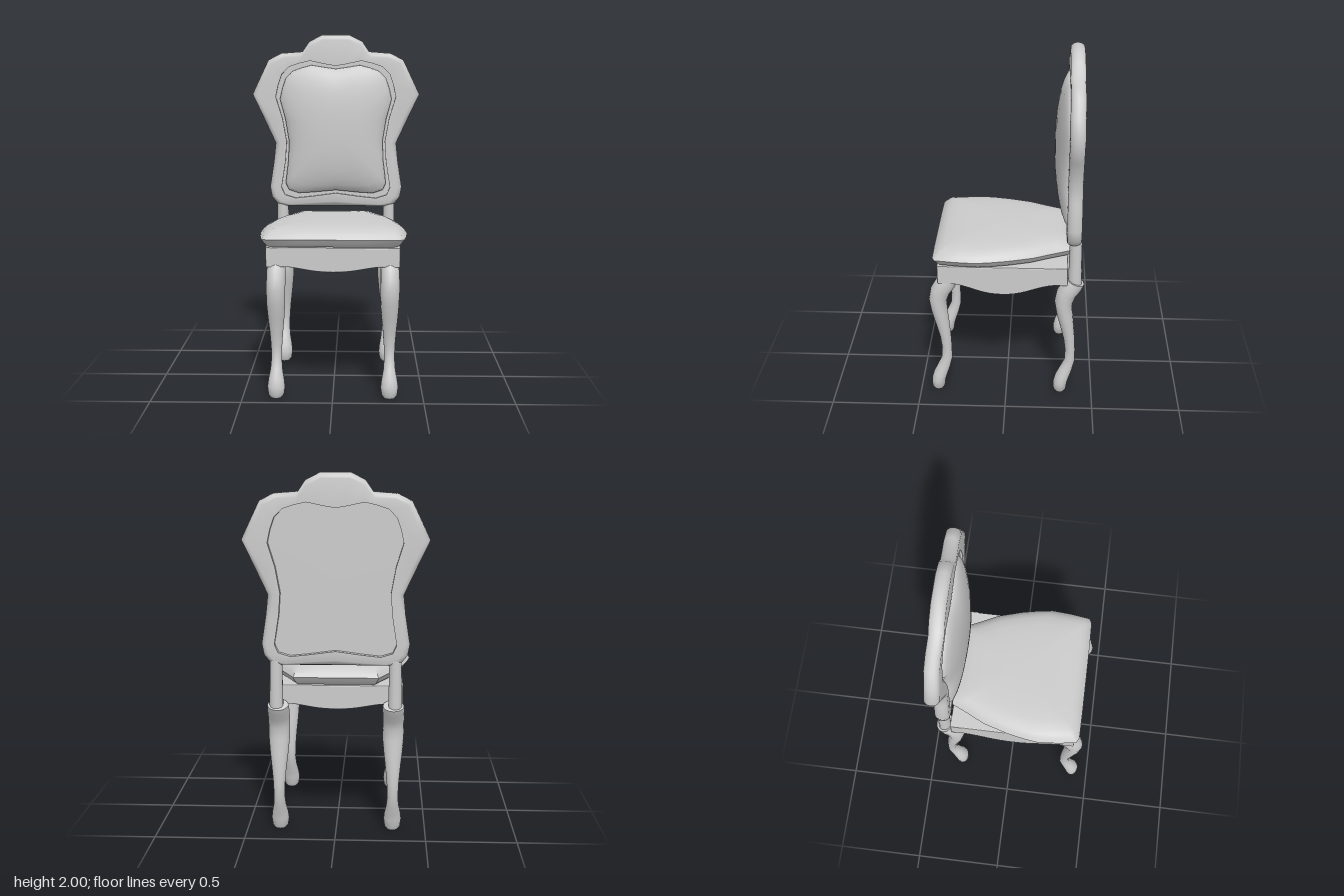
import * as THREE from 'three';
import { toCreasedNormals } from 'three/addons/utils/BufferGeometryUtils.js';

const material = new THREE.MeshStandardMaterial({ color: 0xcccccc });

function add(parent, name, geometry) {
  const mesh = new THREE.Mesh(geometry, material);
  mesh.name = name;
  parent.add(mesh);
  return mesh;
}

// Skin over a list of rings; rings run counter-clockwise seen from the way they advance
function loft(rings, crease, closed = false) {
  const n = rings[0].length, index = [];
  const spans = closed ? rings.length : rings.length - 1;
  for (let i = 0; i < spans; i++) {
    for (let j = 0; j < n; j++) {
      const k = (j + 1) % n, up = (i + 1) % rings.length;
      const a = i * n + j, b = i * n + k, c = up * n + k, d = up * n + j;
      index.push(a, b, c, a, c, d);
    }
  }
  const g = new THREE.BufferGeometry();
  g.setAttribute('position', new THREE.Float32BufferAttribute(rings.flat(2), 3));
  g.setIndex(index);
  return toCreasedNormals(g, crease);
}

// Half outline, from one centre point to the other, completed by mirroring
const mirrored = (half) => half.concat(half.slice(1, -1).reverse().map(([x, y]) => [-x, y]));

// Back frame outline and its opening, point by point
const outer = mirrored([[0, 2], [0.08, 2], [0.16, 1.96], [0.2, 1.9], [0.33, 1.89], [0.407, 1.85],
  [0.455, 1.75], [0.505, 1.645], [0.437, 1.5], [0.367, 1.35], [0.378, 1.24], [0.403, 1.08],
  [0.392, 1.02], [0.36, 0.98], [0.3, 0.963], [0, 0.963]]);
const opening = mirrored([[0, 1.815], [0.06, 1.825], [0.155, 1.845], [0.22, 1.83], [0.28, 1.81],
  [0.325, 1.765], [0.347, 1.7], [0.362, 1.63], [0.322, 1.5], [0.297, 1.36], [0.305, 1.24],
  [0.33, 1.08], [0.31, 1.035], [0.245, 1.015], [0.15, 1.025], [0, 1.045]]);

function backFrame() {
  // Outer outline pulled in towards the opening by d
  const inset = (d, z) => outer.map(([x, y], i) => {
    const dx = opening[i][0] - x, dy = opening[i][1] - y, l = Math.hypot(dx, dy);
    return [x + dx / l * d, y + dy / l * d, z];
  });
  const edge = (z) => opening.map(([x, y]) => [x, y, z]);
  const front = -0.335, back = -0.417, r = 0.032;
  const rings = [edge(front)];
  for (let i = 0; i <= 8; i++) {
    const a = i / 8 * Math.PI;
    const z = (front + back) / 2 + Math.cos(a) * (front - back) / 2;
    rings.push(inset(r * (1 - Math.sin(a)), z));
  }
  rings.push(edge(back));
  return loft(rings, 1.0, true);
}

// Domed pad: follows the opening at its rim and softens to an oval in the middle
function backCushion() {
  const cy = 1.43;
  const profile = [[0, -0.26], [0.2, -0.261], [0.35, -0.264], [0.5, -0.27], [0.63, -0.278],
    [0.75, -0.29], [0.85, -0.305], [0.92, -0.322], [0.945, -0.335], [0.95, -0.35], [1, -0.35],
    [1, -0.385], [0, -0.385]];
  return loft(profile.map(([s, z]) => opening.map(([x, y]) => {
    const oval = 1 / Math.hypot(x / 0.32, (y - cy) / 0.4);
    const f = s * THREE.MathUtils.lerp(oval, 1, s * s);
    return [x * f, cy + (y - cy) * f, z];
  })), 0.8);
}

// Pillow with a pointed seam all round
function seatCushion() {
  const rear = -0.372, front = 0.412, cz = 0.02;
  const outline = mirrored([[0, rear], [0.12, rear], [0.235, rear], [0.262, -0.31], [0.29, -0.25],
    [0.34, -0.15], [0.382, -0.01], [0.403, 0.09], [0.414, 0.17], [0.406, 0.28], [0.39, 0.395],
    [0.36, 0.41], [0.2, front], [0, front]]);
  const profile = [[0, 0.96], [0.3, 0.959], [0.55, 0.955], [0.72, 0.949], [0.84, 0.94],
    [0.91, 0.928], [0.96, 0.91], [1, 0.888], [0.965, 0.868], [0.93, 0.85], [0.9, 0.842], [0, 0.842]];
  return loft(profile.map(([s, y]) => outline.map(([x, z]) => [x * s, y, cz + (z - cz) * s])), 0.8);
}

// Curved leg: [y, x radius, z centre, z radius, tilt of the ring]; flare widens it upwards
function leg(flare) {
  const rows = [[0, 0, 0.4, 0, 0], [0, 0.03, 0.4, 0.028, 0], [0.018, 0.044, 0.4, 0.038, 0],
    [0.06, 0.049, 0.398, 0.041, 0], [0.1, 0.044, 0.387, 0.041, 0.1], [0.15, 0.034, 0.367, 0.036, 0.2],
    [0.21, 0.029, 0.346, 0.03, 0.15], [0.28, 0.031, 0.345, 0.029, 0], [0.36, 0.037, 0.352, 0.032, -0.1],
    [0.45, 0.046, 0.367, 0.039, -0.15], [0.53, 0.052, 0.382, 0.046, -0.1], [0.6, 0.053, 0.39, 0.051, 0.1],
    [0.66, 0.053, 0.374, 0.054, 0.3], [0.705, 0.053, 0.345, 0.054, 0.4], [0.738, 0.05, 0.326, 0.05, 0.4],
    [0.738, 0, 0.326, 0, 0]];
  const n = 16;
  return loft(rows.map(([y, rx, z, rz, tilt]) => Array.from({ length: n }, (_, i) => {
    const a = i / n * Math.PI * 2, dz = -Math.sin(a) * rz;
    return [Math.cos(a) * rx * (1 + flare * y), Math.max(0, y + dz * tilt), z + dz];
  })), 0.9);
}

// Apron board with softened edges; the lower edge dips between -flat and +flat of its half length
const thick = 0.07;
function apron(length, dip, flat) {
  const h = length / 2, r = 0.006, s = new THREE.Shape();
  s.moveTo(-h, 0.84);
  s.lineTo(-h, 0.733);
  s.lineTo(-h * flat, 0.731);
  s.bezierCurveTo(-h * flat * 0.6, 0.718, -h * flat * 0.45, dip, 0, dip);
  s.bezierCurveTo(h * flat * 0.45, dip, h * flat * 0.6, 0.718, h * flat, 0.731);
  s.lineTo(h, 0.733);
  s.lineTo(h, 0.84);
  const g = new THREE.ExtrudeGeometry(s, { depth: thick - 2 * r, curveSegments: 10,
    bevelSize: r, bevelThickness: r, bevelOffset: -r, bevelSegments: 2 });
  return toCreasedNormals(g.translate(0, 0, r), 0.35);
}

export function createModel() {
  const chair = new THREE.Group();
  chair.name = 'chair';

  // Backrest
  add(chair, 'backFrame', backFrame());
  add(chair, 'backCushion', backCushion());

  // Seat
  const seat = new THREE.Group();
  seat.name = 'seat';
  chair.add(seat);
  add(seat, 'seatCushion', seatCushion());
  add(seat, 'seatBoard', new THREE.BoxGeometry(0.72, 0.035, 0.715)).position.set(0, 0.8225, 0.02);
  add(seat, 'frontApron', apron(0.737, 0.703, 0.65)).position.z = 0.385 - thick;
  add(seat, 'backApron', apron(0.737, 0.703, 0.65)).position.z = -0.345;
  for (const side of [-1, 1]) {
    const board = add(seat, 'sideApron', apron(0.73, 0.667, 0.8));
    board.rotation.y = Math.PI / 2;
    board.position.set(side > 0 ? 0.3685 - thick : -0.3685, 0, 0.02);
  }

  // Legs and back posts
  const frontLeg = leg(0), backLeg = leg(0.22);
  const postShape = new THREE.CylinderGeometry(0.034, 0.038, 0.27, 14);
  for (const side of [-1, 1]) {
    add(chair, 'frontLeg', frontLeg).position.x = side * 0.314;
    add(chair, 'backLeg', backLeg).position.set(side * 0.317, 0, -0.715);
    add(chair, 'backPost', postShape).position.set(side * 0.325, 0.855, -0.386);
  }
  return chair;
}
